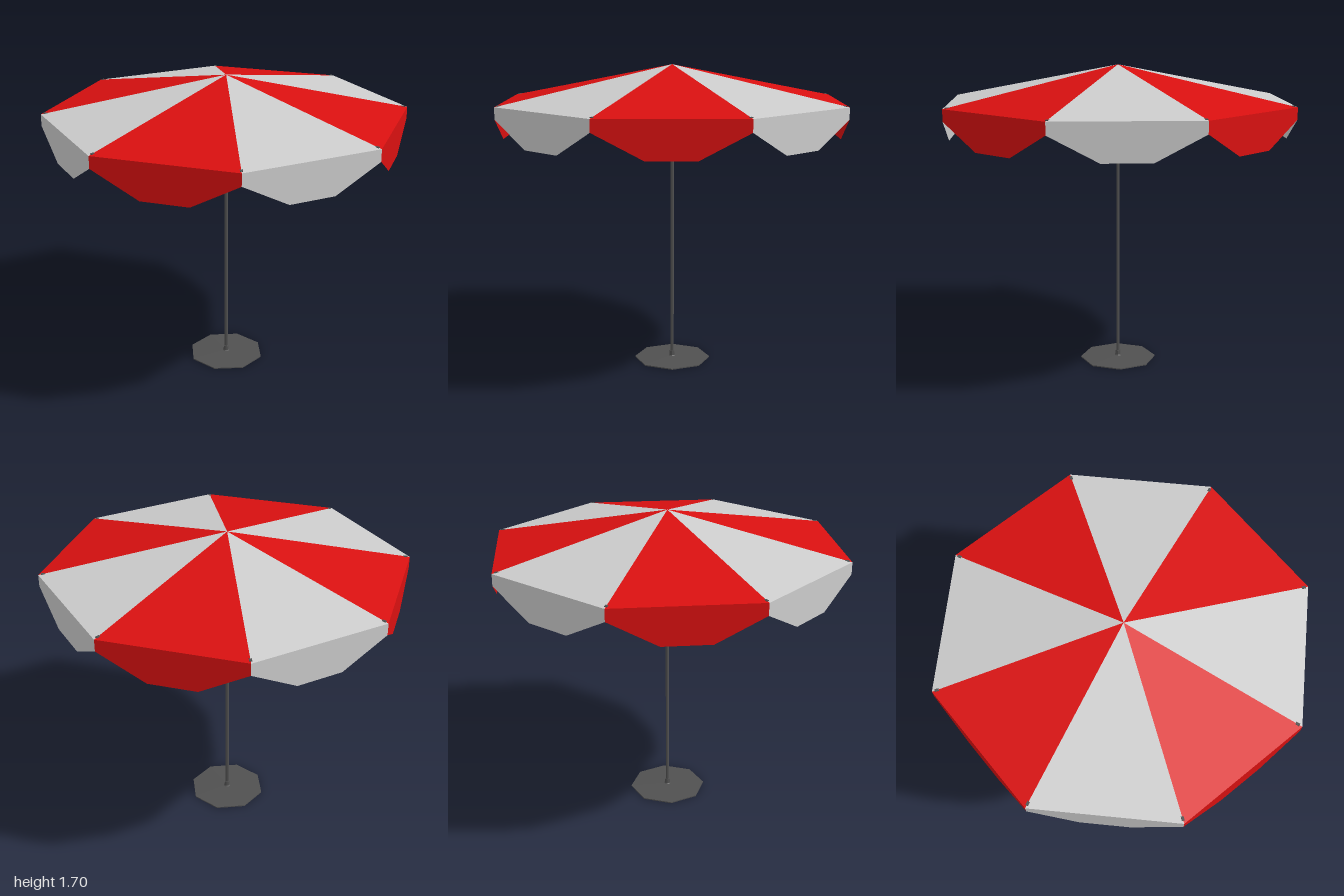
import * as THREE from 'three';

const RIM_Y = 1.5, TOP_Y = 1.7, SIDES = 8;

const cloth = (color) => new THREE.MeshStandardMaterial({ color, side: THREE.DoubleSide, flatShading: true });
const red = cloth(0xd81010);
const grey = cloth(0xcccccc);
const metal = new THREE.MeshStandardMaterial({ color: 0x505050, flatShading: true });

function add(parent, name, geometry, material) {
  const mesh = new THREE.Mesh(geometry, material);
  mesh.name = name;
  parent.add(mesh);
  return mesh;
}

// Fan of triangles around the first point
function fan(points) {
  const tris = [];
  for (let i = 1; i < points.length - 1; i++) tris.push(points[0], points[i], points[i + 1]);
  const geometry = new THREE.BufferGeometry().setFromPoints(tris);
  geometry.computeVertexNormals();
  return geometry;
}

// Thin square bar between two points
function bar(a, b, size) {
  const geometry = new THREE.BoxGeometry(size, size, a.distanceTo(b));
  geometry.applyMatrix4(new THREE.Matrix4().lookAt(b, a, new THREE.Vector3(0, 1, 0)));
  const mid = a.clone().add(b).multiplyScalar(0.5);
  return geometry.translate(mid.x, mid.y, mid.z);
}

const rim = (i, y = RIM_Y, r = 1) => {
  const a = (i / SIDES) * Math.PI * 2;
  return new THREE.Vector3(Math.cos(a) * r, y, Math.sin(a) * r);
};

export function createModel() {
  const model = new THREE.Group();
  model.name = 'parasol';
  const canopy = new THREE.Group();
  canopy.name = 'canopy';
  const frame = new THREE.Group();
  frame.name = 'frame';
  model.add(canopy, frame);

  for (let i = 0; i < SIDES; i++) {
    const material = i % 2 ? grey : red;
    const a = rim(i), b = rim(i + 1);

    // Sloping panel
    add(canopy, 'canopyPanel', fan([new THREE.Vector3(0, TOP_Y, 0), b, a]), material);

    // Hanging flap with a cut-away lower edge
    const hang = (t, drop) => a.clone().lerp(b, t).setY(RIM_Y - drop);
    add(canopy, 'valance', fan([a, b, hang(1, 0.065), hang(2 / 3, 0.2), hang(1 / 3, 0.2), hang(0, 0.065)]), material);

    // Rib under each seam and a level strut below it
    add(frame, 'rib', bar(rim(i, TOP_Y - 0.012, 0), rim(i, RIM_Y - 0.005, 0.98), 0.014), metal);
    add(frame, 'strut', bar(rim(i, RIM_Y, 0), rim(i, RIM_Y, 0.985), 0.014), metal);
  }

  // Pole
  add(model, 'pole', new THREE.CylinderGeometry(0.01, 0.01, TOP_Y - 0.015, 8), metal)
    .position.y = (TOP_Y - 0.015) / 2;

  // Octagonal foot plate with a slight rise, and the collar holding the pole
  const profile = [[0, 0], [0.216, 0], [0.216, 0.006], [0.02, 0.012], [0.016, 0.016], [0.014, 0.042], [0, 0.044]];
  add(model, 'base', new THREE.LatheGeometry(profile.map(([x, y]) => new THREE.Vector2(x, y)), SIDES), metal)
    .rotation.y = Math.PI / SIDES;

  return model;
}
